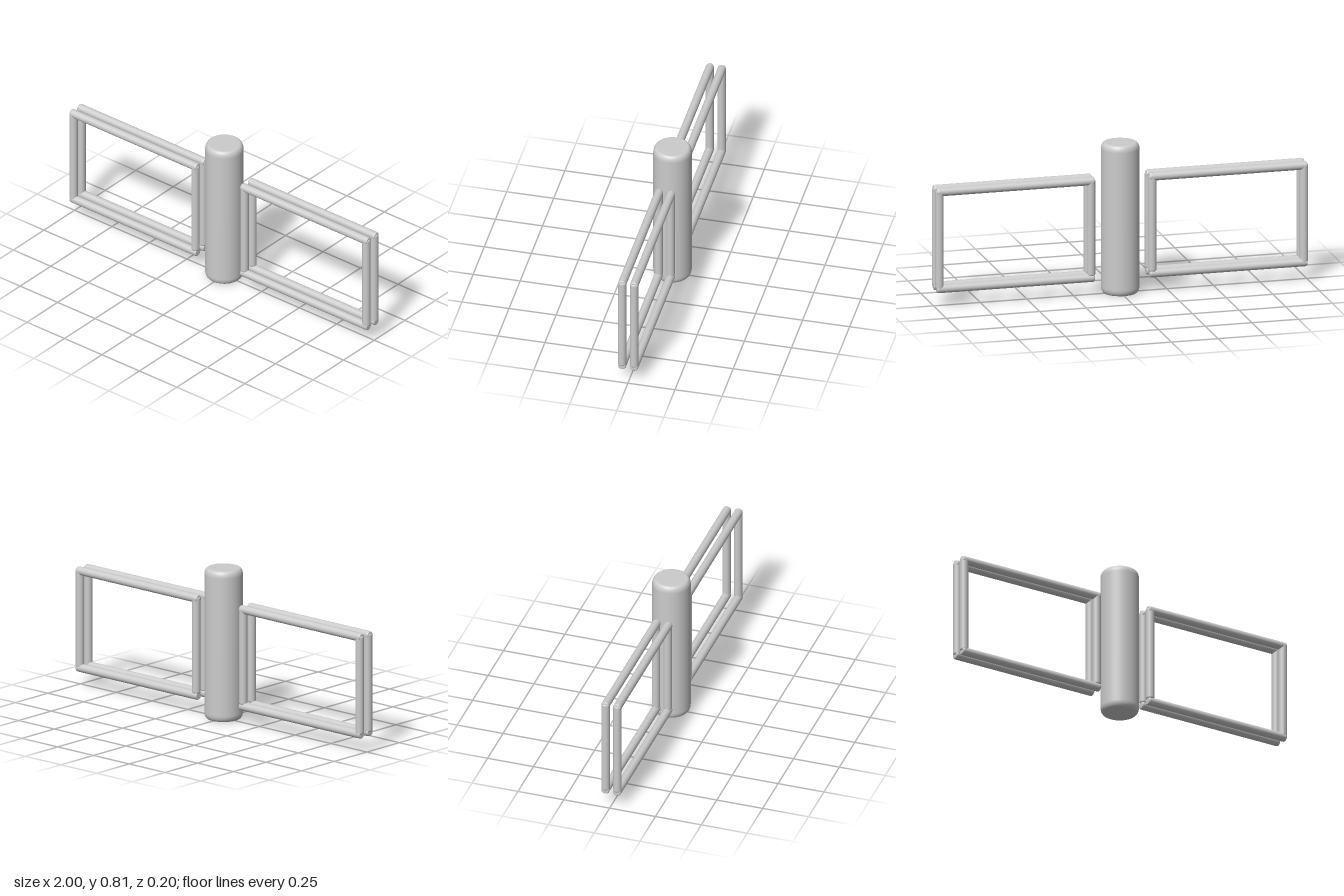
import * as THREE from 'three';

const material = new THREE.MeshStandardMaterial({ color: 0xcccccc });

// Upright cylinder with softly rounded rims, centred on the origin
function roundedRod(radius, length, inset, drop, sides) {
  const h = length / 2;
  const points = [new THREE.Vector2(0, -h)];
  const steps = 6;
  for (let i = 0; i <= steps; i++) {
    const a = (i / steps) * Math.PI / 2;
    points.push(new THREE.Vector2(radius - inset + inset * Math.sin(a), -h + drop - drop * Math.cos(a)));
  }
  for (let i = steps; i >= 0; i--) {
    const a = (i / steps) * Math.PI / 2;
    points.push(new THREE.Vector2(radius - inset + inset * Math.sin(a), h - drop + drop * Math.cos(a)));
  }
  points.push(new THREE.Vector2(0, h));
  return new THREE.LatheGeometry(points, sides);
}

function addRod(parent, name, length, x, y, horizontal) {
  const rod = new THREE.Mesh(roundedRod(0.022, length, 0.006, 0.01, 32), material);
  rod.name = name;
  rod.position.set(x, y, 0);
  if (horizontal) rod.rotation.z = Math.PI / 2;
  parent.add(rod);
}

// Rectangular frame of four rods on one side of the column
function createFrame(side) {
  const frame = new THREE.Group();
  addRod(frame, 'topRail', 0.845, side * 0.57, 0.616, true);
  addRod(frame, 'bottomRail', 0.845, side * 0.57, 0.097, true);
  addRod(frame, 'innerPost', 0.515, side * 0.164, 0.3675, false);
  addRod(frame, 'outerPost', 0.525, side * 0.977, 0.3625, false);
  return frame;
}

export function createModel() {
  const model = new THREE.Group();
  model.name = 'columnWithFrames';

  // Central column
  const column = new THREE.Mesh(roundedRod(0.1, 0.806, 0.02, 0.035, 64), material);
  column.name = 'column';
  column.position.y = 0.403;
  model.add(column);

  // A front and a back frame on each side
  for (const side of [1, -1]) {
    for (const [layer, z] of [['front', 0.035], ['back', -0.029]]) {
      const frame = createFrame(side);
      frame.name = layer + (side > 0 ? 'Left' : 'Right') + 'Frame';
      frame.position.z = z;
      model.add(frame);
    }
  }
  return model;
}
